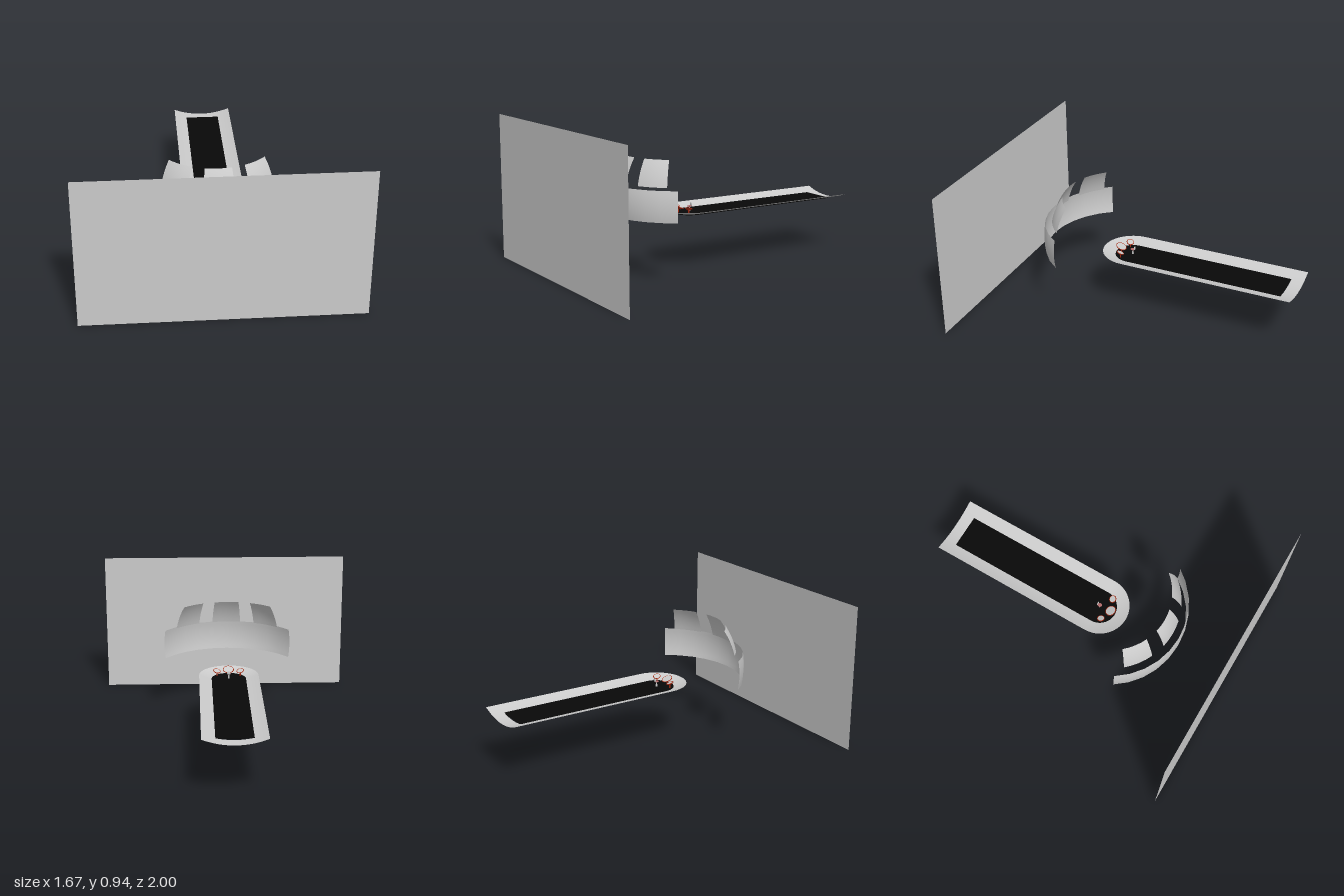
import * as THREE from 'three';

const material = (color) => new THREE.MeshStandardMaterial({ color, side: THREE.DoubleSide });

// Grid surface from a rule fn(u, v) -> [x, y, z], with u and v from 0 to 1
function surface(fn, nu, nv) {
  const pos = [], index = [];
  for (let i = 0; i <= nu; i++) {
    for (let j = 0; j <= nv; j++) {
      pos.push(...fn(i / nu, j / nv));
      if (i < nu && j < nv) {
        const a = i * (nv + 1) + j, b = a + nv + 1;
        index.push(a, b, a + 1, b, b + 1, a + 1);
      }
    }
  }
  const geo = new THREE.BufferGeometry();
  geo.setAttribute('position', new THREE.Float32BufferAttribute(pos, 3));
  geo.setIndex(index);
  geo.computeVertexNormals();
  return geo;
}

export function createModel() {
  const model = new THREE.Group();
  const grey = material(0xcccccc), black = material(0x080808), red = material(0xa82a12);

  function add(name, geo, mat, parent = model) {
    const mesh = new THREE.Mesh(geo, mat);
    mesh.name = name;
    parent.add(mesh);
    return mesh;
  }

  // Large flat wall
  add('wall', new THREE.PlaneGeometry(1.67, 0.935), grey).position.set(0, 0.4675, 1);

  // Screens are patches of spheres about one viewing point
  const eyeY = 0.475, eyeZ = 0.168;
  const patch = (R, mid, half, y0, y1, n) => surface((u, v) => {
    const a = mid + (u * 2 - 1) * half;
    const y = y0 + (y1 - y0) * v;
    const r = Math.sqrt(R * R - (y - eyeY) ** 2);
    return [Math.sin(a) * r, y, eyeZ + Math.cos(a) * r];
  }, n, 8);
  add('curvedScreen', patch(0.498, 0, 0.99, 0.38, 0.57, 10), grey);
  ['rightPanel', 'centrePanel', 'leftPanel'].forEach((name, i) =>
    add(name, patch(0.457, (i - 1) * 0.635, 0.212, 0.58, 0.735, 4), grey));

  // Shallow trough: curved rim swept along the sides and round the nose
  const backZ = -1, noseZ = 0.1, inner = 0.11, outer = 0.19;
  const dishY = (r) => 0.336 + 0.037 * (r / outer) ** 2;
  const steps = 26;
  add('troughRim', surface((u, v) => {
    const k = Math.round(u * steps);
    const a = Math.PI * THREE.MathUtils.clamp((k - 1) / (steps - 2), 0, 1);
    const r = inner + (outer - inner) * v;
    const z = k === 0 || k === steps ? backZ : noseZ + Math.sin(a) * r;
    return [Math.cos(a) * r, dishY(r), z];
  }, steps, 6), grey);
  add('troughBackFloor', surface((u, v) => {
    const x = (u * 2 - 1) * inner;
    return [x, dishY(Math.abs(x)), backZ + 0.08 * v];
  }, 10, 1), grey);

  // Black floor with a round front end
  const outline = new THREE.Shape();
  outline.moveTo(-inner, 0.92);
  outline.lineTo(-inner, -noseZ);
  outline.absarc(0, -noseZ, inner, Math.PI, Math.PI * 2, false);
  outline.lineTo(inner, 0.92);
  outline.closePath();
  const floor = add('floor', new THREE.ExtrudeGeometry(outline,
    { depth: 0.005, bevelEnabled: false, curveSegments: 24 }), black);
  floor.rotation.x = -Math.PI / 2;
  floor.position.y = 0.343;

  // Round console dials with red rims, tilted towards the seat
  const dial = (name, x, z, r, turn) => {
    const g = new THREE.Group();
    g.name = name;
    g.position.set(x, 0.382, z);
    g.rotation.set(-0.4, turn, 0, 'YXZ');
    model.add(g);
    add('dialFace', new THREE.CylinderGeometry(r * 0.94, r * 0.94, 0.003, 28), grey, g);
    const rim = add('dialRim', new THREE.TorusGeometry(r, 0.0025, 8, 28), red, g);
    rim.rotation.x = Math.PI / 2;
    add('dialBase', new THREE.CylinderGeometry(r * 0.9, r * 0.5, 0.008, 28), red, g).position.y = -0.006;
    // Stalk down to the floor
    const stalk = add('dialStalk', new THREE.CylinderGeometry(0.004, 0.004, 0.036, 8), red);
    stalk.position.set(x, 0.363, z);
  };
  dial('centreDial', 0, 0.18, 0.033, 0);
  for (const s of [-1, 1]) dial(s < 0 ? 'rightDial' : 'leftDial', s * 0.075, 0.152, 0.022, s * 0.7);

  // Small seat with a rounded backrest
  const seat = add('seat', new THREE.SphereGeometry(0.013, 16, 10), material(0xb06a6a));
  seat.scale.set(1, 0.35, 1.2);
  seat.position.set(0, 0.38, 0.1);
  const back = add('seatBack', new THREE.SphereGeometry(0.012, 16, 10), grey);
  back.scale.set(1, 1.1, 0.3);
  back.position.set(0, 0.39, 0.087);
  add('seatPost', new THREE.CylinderGeometry(0.003, 0.006, 0.032, 10), grey).position.set(0, 0.364, 0.1);

  return model;
}
